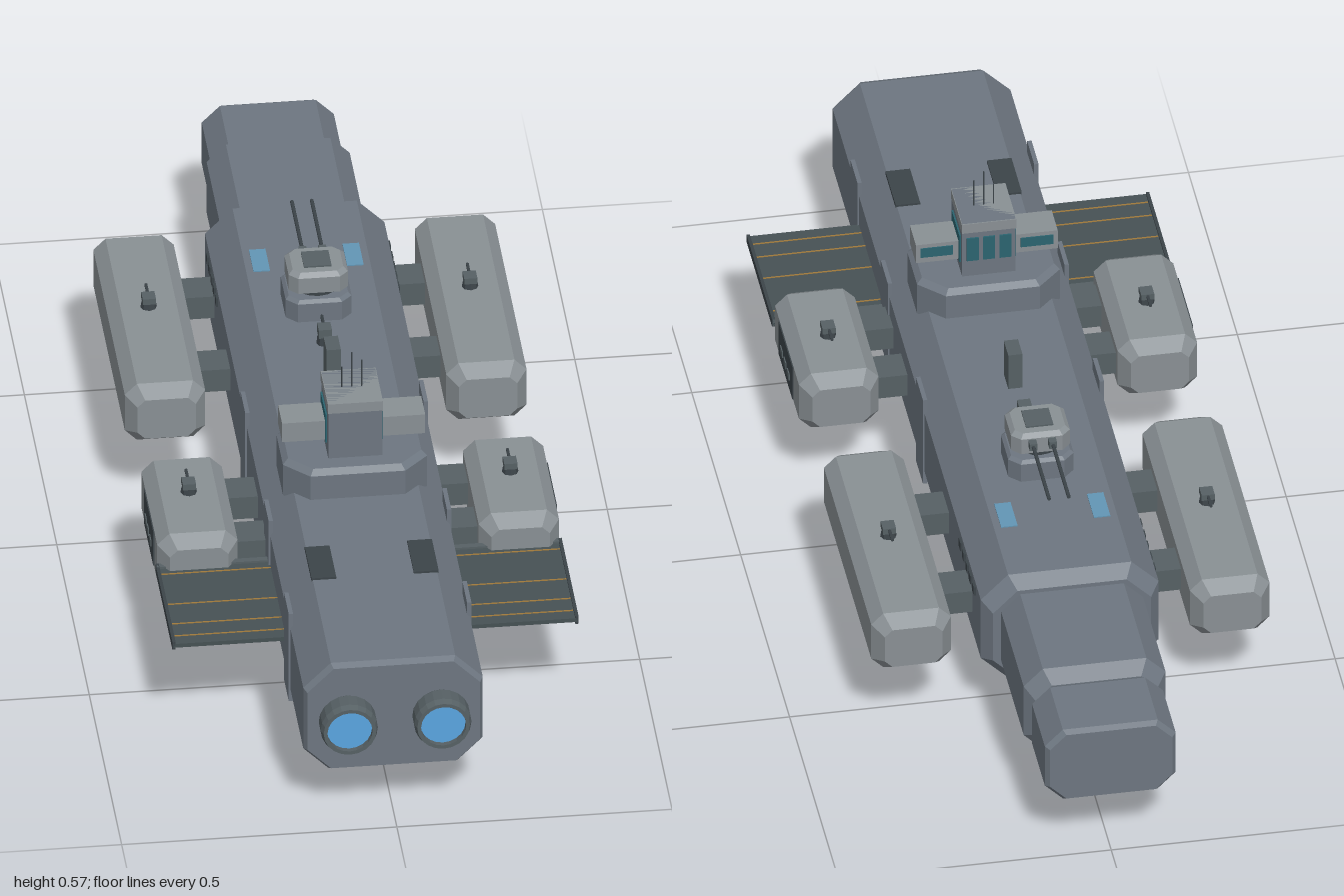
import * as THREE from 'three';

const mat = (color) => new THREE.MeshStandardMaterial({ color, flatShading: true, side: THREE.DoubleSide });

export function createModel() {
  const ship = new THREE.Group();
  ship.name = 'spaceship';
  const hullMat = mat(0x6d7680), podMat = mat(0x899094), strutMat = mat(0x566064);
  const darkMat = mat(0x3c4449), wingMat = mat(0x465154), glowMat = mat(0x5aa5e0);
  const glassMat = mat(0x2b6470), skyMat = mat(0x6296b5), orangeMat = mat(0xa07a3c);

  function add(name, geometry, material, x = 0, y = 0, z = 0, parent = ship) {
    const mesh = new THREE.Mesh(geometry, material);
    mesh.name = name;
    mesh.position.set(x, y, z);
    parent.add(mesh);
    return mesh;
  }
  const box = (name, w, h, d, m, x, y, z, parent) =>
    add(name, new THREE.BoxGeometry(w, h, d), m, x, y, z, parent);
  const cyl = (name, r0, r1, h, n, m, x, y, z, parent) =>
    add(name, new THREE.CylinderGeometry(r0, r1, h, n), m, x, y, z, parent);

  // Lofts chamfered rectangles along z; section: [z, halfWidth, bottom, top, topChamfer, bottomChamfer]
  function loft(sections) {
    const pos = [], idx = [];
    for (const [z, w, b, t, c, d = c] of sections) {
      const ring = [[w, b + d], [w, t - c], [w - c, t], [c - w, t], [-w, t - c], [-w, b + d], [d - w, b], [w - d, b]];
      for (const [x, y] of ring) pos.push(x, y, z);
    }
    const n = sections.length;
    for (let s = 0; s < n - 1; s++) {
      for (let i = 0; i < 8; i++) {
        const a = s * 8 + i, b = s * 8 + (i + 1) % 8;
        idx.push(a, b, b + 8, a, b + 8, a + 8);
      }
    }
    const e = (n - 1) * 8;
    for (let i = 1; i < 7; i++) idx.push(0, i + 1, i, e, e + i, e + i + 1);
    const g = new THREE.BufferGeometry();
    g.setAttribute('position', new THREE.Float32BufferAttribute(pos, 3));
    g.setIndex(idx);
    g.computeVertexNormals();
    return g;
  }
  // Block with chamfered plan corners and a bevelled top edge, standing on y = 0
  function block(w, h, d, c, bevel) {
    return loft([
      [0, w / 2, -d / 2, d / 2, c],
      [h - bevel, w / 2, -d / 2, d / 2, c],
      [h, w / 2 - bevel, bevel - d / 2, d / 2 - bevel, c - bevel * 0.4],
    ]).rotateX(-Math.PI / 2);
  }

  // Main hull, neck and nose
  add('hull', loft([
    [-0.6, 0.145, 0.115, 0.305, 0.045, 0.04],
    [-0.575, 0.163, 0.1, 0.325, 0.05, 0.045],
    [0.94, 0.163, 0.1, 0.325, 0.05, 0.045],
    [0.952, 0.157, 0.106, 0.319, 0.048, 0.043],
  ]), hullMat);
  add('neck', loft([
    [-0.85, 0.112, 0.135, 0.272, 0.03],
    [-0.83, 0.13, 0.118, 0.297, 0.035],
    [-0.595, 0.13, 0.118, 0.297, 0.035],
  ]), hullMat);
  add('nose', loft([
    [-1, 0.112, 0.128, 0.27, 0.03],
    [-0.99, 0.12, 0.122, 0.276, 0.033],
    [-0.86, 0.12, 0.122, 0.276, 0.033],
    [-0.845, 0.11, 0.135, 0.268, 0.03],
  ]), hullMat);

  // Small gun mount, muzzle towards -z
  function smallGun(name, x, y, z, flip = 1) {
    const gun = new THREE.Group();
    gun.name = name;
    gun.position.set(x, y, z);
    gun.scale.y = flip;
    cyl('gunBase', 0.013, 0.015, 0.012, 8, darkMat, 0, 0.006, 0, gun);
    box('gunHead', 0.024, 0.012, 0.026, strutMat, 0, 0.018, 0, gun);
    cyl('gunBarrel', 0.003, 0.003, 0.035, 6, darkMat, 0, 0.02, -0.025, gun).rotation.x = Math.PI / 2;
    ship.add(gun);
    return gun;
  }

  // Twin-barrel turret, built upright with the muzzles towards -z
  function turret(name, y, z, flip, bottomGap) {
    const t = new THREE.Group();
    t.name = name;
    t.position.set(0, y, z);
    t.scale.y = flip;
    add('turretBase', block(0.12, 0.045, 0.115, 0.02, 0.006), hullMat, 0, 0, 0, t);
    cyl('turretRing', 0.042, 0.042, 0.014, 16, darkMat, 0, 0.05, 0, t);
    add('turretHead', block(0.108, 0.04, 0.096, 0.016, 0.008), podMat, 0, bottomGap, 0, t);
    box('turretHatch', 0.05, 0.004, 0.05, strutMat, 0, bottomGap + 0.041, 0, t);
    for (const s of [-1, 1]) {
      cyl('turretBarrel', 0.0035, 0.0035, 0.18, 8, darkMat, s * 0.018, bottomGap + 0.023, -0.132, t).rotation.x = Math.PI / 2;
      box('barrelSleeve', 0.014, 0.014, 0.02, strutMat, s * 0.018, bottomGap + 0.023, -0.053, t);
    }
    ship.add(t);
  }
  turret('upperTurret', 0.324, -0.244, 1, 0.056);
  turret('lowerTurret', 0.1, -0.06, -1, 0.055);

  const nozzle = [[0.046, 0], [0.052, 0.01], [0.052, 0.04], [0.048, 0.052], [0.041, 0.052], [0.041, 0.036]]
    .map(([r, h]) => new THREE.Vector2(r, h));

  for (const s of [-1, 1]) {
    const side = s > 0 ? 'left' : 'right';

    // Engines
    add(side + 'Engine', new THREE.LatheGeometry(nozzle, 20).rotateX(Math.PI / 2), strutMat, s * 0.085, 0.212, 0.948);
    add(side + 'EngineGlow', new THREE.CircleGeometry(0.042, 20), glowMat, s * 0.085, 0.212, 0.99);

    // Side pods with struts and guns
    for (const [name, z0, z1, gunZ, struts] of [
      ['LongPod', -0.61, -0.07, -0.35, [-0.46, -0.218]],
      ['ShortPod', 0.13, 0.43, 0.268, [0.207, 0.352]],
    ]) {
      add(side + name, loft([
        [z0, 0.053, 0.172, 0.254, 0.014],
        [z0 + 0.028, 0.073, 0.153, 0.273, 0.022],
        [z1 - 0.028, 0.073, 0.153, 0.273, 0.022],
        [z1, 0.053, 0.172, 0.254, 0.014],
      ]), podMat, s * 0.292);
      for (const z of struts) box(side + 'Strut', 0.09, 0.046, 0.066, strutMat, s * 0.19, 0.212, z);
      smallGun(side + name + 'Gun', s * 0.292, 0.273, gunZ);
    }

    // Dark bay on the outer face of the short pod
    box(side + 'PodBay', 0.004, 0.072, 0.145, darkMat, s * 0.365, 0.214, 0.285);
    for (const z of [0.25, 0.285, 0.32]) box(side + 'BayWindow', 0.004, 0.014, 0.02, strutMat, s * 0.367, 0.208, z);

    // Flat panel wing with trim lines
    box(side + 'Wing', 0.21, 0.008, 0.262, wingMat, s * 0.262, 0.207, 0.54);
    box(side + 'WingSpar', 0.21, 0.016, 0.012, strutMat, s * 0.262, 0.207, 0.415);
    box(side + 'WingTip', 0.006, 0.016, 0.262, darkMat, s * 0.366, 0.207, 0.54);
    for (const z of [0.44, 0.54, 0.605, 0.645]) box(side + 'WingTrim', 0.2, 0.001, 0.003, orangeMat, s * 0.262, 0.2115, z);

    // Armour bands on the hull sides
    for (const z of [0.705, 0.395, 0.035]) box(side + 'HullBand', 0.008, 0.187, 0.072, hullMat, s * 0.162, 0.212, z);

    // Portholes near the bow
    for (let i = 0; i < 5; i++) box(side + 'Porthole', 0.008, 0.018, 0.018, darkMat, s * 0.163, 0.258, -0.38 - i * 0.034);

    // Deck hatches and skylights
    box(side + 'DeckHatch', 0.045, 0.008, 0.105, darkMat, s * 0.093, 0.325, 0.612);
    box(side + 'Skylight', 0.03, 0.004, 0.072, skyMat, s * 0.085, 0.325, -0.397);

    // Bridge wing with its window
    box(side + 'BridgeWing', 0.082, 0.04, 0.062, podMat, s * 0.089, 0.43, 0.303);
    box(side + 'BridgeWingWindow', 0.06, 0.02, 0.004, glassMat, s * 0.092, 0.432, 0.272);
    box(side + 'TowerSideWindow', 0.004, 0.06, 0.078, glassMat, s * 0.05, 0.438, 0.303);
  }

  // Bridge platform and tower
  add('bridgePlatform', block(0.262, 0.075, 0.19, 0.045, 0.01), hullMat, 0, 0.31, 0.305);
  box('bridgeTower', 0.098, 0.12, 0.108, hullMat, 0, 0.442, 0.305);
  box('towerRoof', 0.1, 0.02, 0.112, podMat, 0, 0.492, 0.305);
  for (const x of [-0.03, 0, 0.03]) box('towerWindow', 0.022, 0.05, 0.004, glassMat, x, 0.445, 0.25);
  for (const [x, h] of [[-0.018, 0.043], [0, 0.073], [0.018, 0.055]]) {
    cyl('antenna', 0.0013, 0.0013, h, 6, darkMat, x, 0.502 + h / 2, 0.305);
  }

  // Deck vent and hull guns
  box('deckVent', 0.026, 0.078, 0.046, strutMat, 0, 0.361, 0.003);
  smallGun('deckGun', 0, 0.324, -0.115).scale.y = 1.5;
  smallGun('bellyGun', 0, 0.1, 0.395, -1.1);

  return ship;
}
